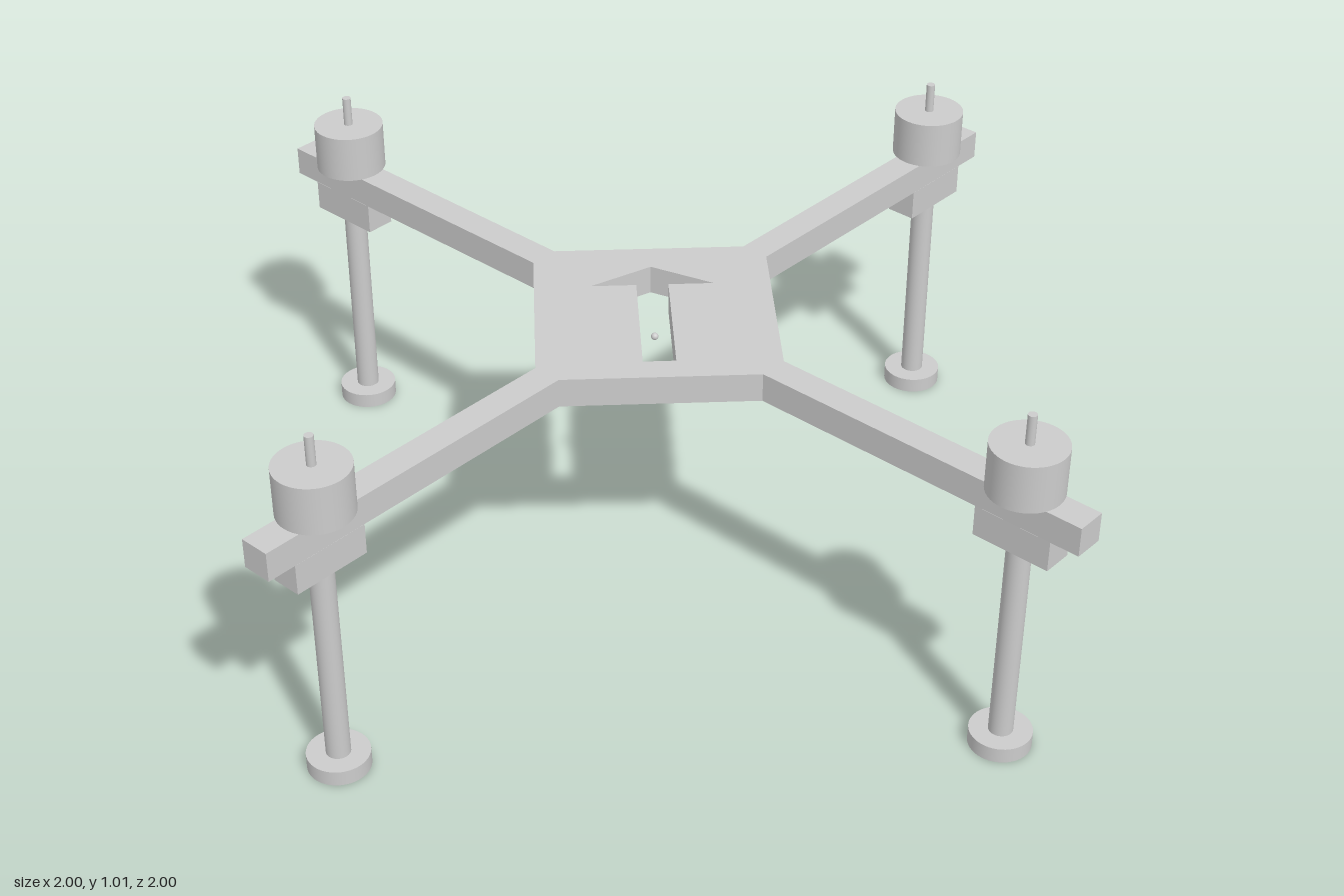
import * as THREE from 'three';

const mat = new THREE.MeshStandardMaterial({ color: 0xcccccc });
const points = (list) => list.map(([x, y]) => new THREE.Vector2(x, y));

function add(parent, name, geometry) {
  const mesh = new THREE.Mesh(geometry, mat);
  mesh.name = name;
  parent.add(mesh);
  return mesh;
}

// Flat outline extruded upward between two heights
function slab(shape, y0, y1) {
  return new THREE.ExtrudeGeometry(shape, { depth: y1 - y0, bevelEnabled: false, curveSegments: 16 })
    .rotateX(-Math.PI / 2)
    .translate(0, y0, 0);
}

function cylinder(parent, name, radius, y0, y1, segments = 48) {
  const g = new THREE.CylinderGeometry(radius, radius, y1 - y0, segments);
  return add(parent, name, g.translate(0, (y0 + y1) / 2, 0));
}

export function createModel() {
  const model = new THREE.Group();
  model.name = 'quadFrame';
  const bottom = 0.714, top = 0.795;
  const half = 0.317, inner = 0.259, tipIn = 0.941, tipOut = 1.0;

  // One-piece frame: square plate with four diagonal arms
  const quarter = [[half, inner], [tipOut, tipIn], [tipIn, tipOut], [inner, half]];
  const outline = [];
  for (let i = 0; i < 4; i++) {
    for (const [x, y] of quarter) {
      const c = [1, 0, -1, 0][i], s = [0, 1, 0, -1][i];
      outline.push([x * c - y * s, x * s + y * c]);
    }
  }
  const frame = new THREE.Shape(points(outline));

  // Arrow cut-out pointing to the back
  frame.holes.push(new THREE.Path(points([
    [-0.043, -0.243], [-0.043, 0.13], [-0.165, 0.13], [0, 0.222],
    [0.165, 0.13], [0.043, 0.13], [0.043, -0.243],
  ])));
  add(model, 'frame', slab(frame, bottom, top));

  // Small centre marker
  add(model, 'centreMarker', new THREE.SphereGeometry(0.01, 16, 12)).position.y = bottom;

  // Leg mount under each arm, with two screw holes
  const mount = new THREE.Shape(points([
    [-0.109, -0.042], [0.109, -0.042], [0.109, 0.042], [-0.109, 0.042],
  ]));
  for (const x of [-0.078, 0.078]) {
    mount.holes.push(new THREE.Path().absarc(x, 0, 0.012, 0, Math.PI * 2, true));
  }

  // Motor, mount and leg at each arm end
  for (let i = 0; i < 4; i++) {
    const corner = new THREE.Group();
    corner.name = 'cornerAssembly' + (i + 1);
    const angle = Math.PI / 4 + (i * Math.PI) / 2;
    corner.position.set(1.184 * Math.cos(angle), 0, -1.184 * Math.sin(angle));
    corner.rotation.y = angle;
    add(corner, 'legMount', slab(mount, 0.629, bottom));
    cylinder(corner, 'foot', 0.082, 0, 0.043);
    cylinder(corner, 'leg', 0.032, 0.043, 0.64, 32);
    cylinder(corner, 'motor', 0.098, top, 0.927);
    cylinder(corner, 'motorShaft', 0.012, 0.927, 1.01, 20);
    model.add(corner);
  }
  return model;
}
